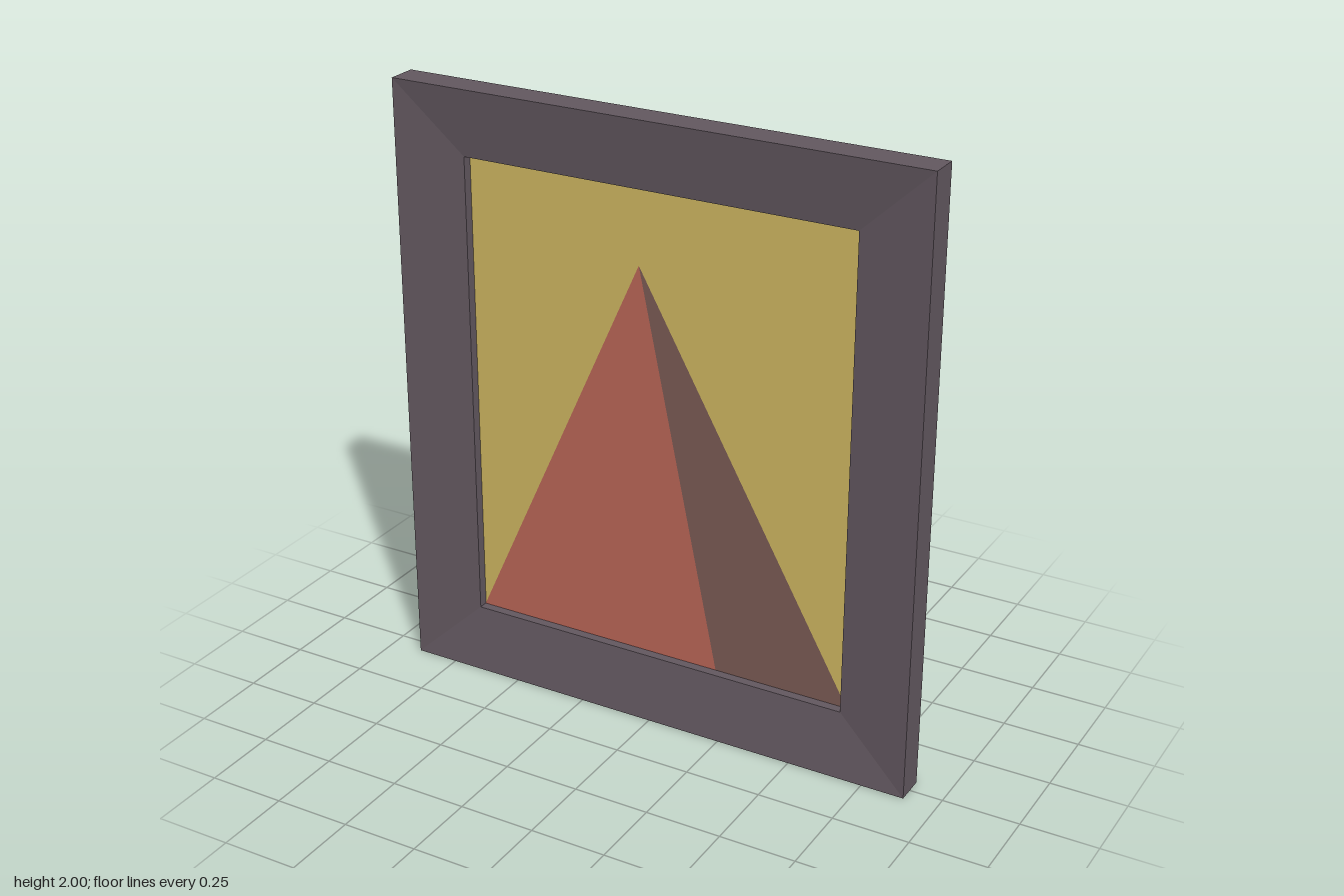
import * as THREE from 'three';

const material = (name, color) => {
  const m = new THREE.MeshStandardMaterial({ color });
  m.name = name;
  return m;
};

// Mitred rectangular moulding: each ring is [half width, half height, z]
function mouldingGeometry(rings) {
  const corners = [[-1, -1], [1, -1], [1, 1], [-1, 1]];
  const positions = [];
  const index = [];
  for (const [w, h, z] of rings) {
    for (const [sx, sy] of corners) positions.push(sx * w, sy * h, z);
  }
  for (let r = 0; r < rings.length - 1; r++) {
    for (let i = 0; i < 4; i++) {
      const a = r * 4 + i, b = r * 4 + (i + 1) % 4;
      index.push(a, b, b + 4, a, b + 4, a + 4);
    }
  }
  index.push(0, 2, 1, 0, 3, 2); // closed back
  const indexed = new THREE.BufferGeometry();
  indexed.setAttribute('position', new THREE.Float32BufferAttribute(positions, 3));
  indexed.setIndex(index);
  const geometry = indexed.toNonIndexed();
  geometry.computeVertexNormals();
  return geometry;
}

export function createModel() {
  const group = new THREE.Group();
  group.name = 'framedPicture';

  const frameMat = material('dark frame', 0x62575f);
  const skyMat = material('yellow background', 0xcbb45f);
  const litMat = material('red pyramid side', 0xb86455);
  const shadeMat = material('brown pyramid side', 0x785953);

  const add = (name, geometry, mat, y, z) => {
    const mesh = new THREE.Mesh(geometry, mat);
    mesh.name = name;
    mesh.position.set(0, y, z);
    group.add(mesh);
  };
  const flat = (points) =>
    new THREE.ShapeGeometry(new THREE.Shape(points.map(([x, y]) => new THREE.Vector2(x, y))));

  // Frame sloping inward to a small lip around the picture
  const canvasZ = -0.01;
  add('frame', mouldingGeometry([
    [0.892, 1, -0.05],
    [0.892, 1, 0.05],
    [0.658, 0.78, 0.022],
    [0.658, 0.78, canvasZ],
  ]), frameMat, 1, 0);

  // Picture surface and the two painted sides of the pyramid
  add('canvas', new THREE.PlaneGeometry(1.316, 1.56), skyMat, 1, canvasZ);
  const apex = [-0.065, 1.53], ridge = [0.21, 0.22];
  add('pyramidLitSide', flat([[-0.658, 0.22], ridge, apex]), litMat, 0, canvasZ + 0.002);
  add('pyramidShadedSide', flat([ridge, [0.658, 0.22], [0.658, 0.235], apex]), shadeMat, 0, canvasZ + 0.002);

  return group;
}
